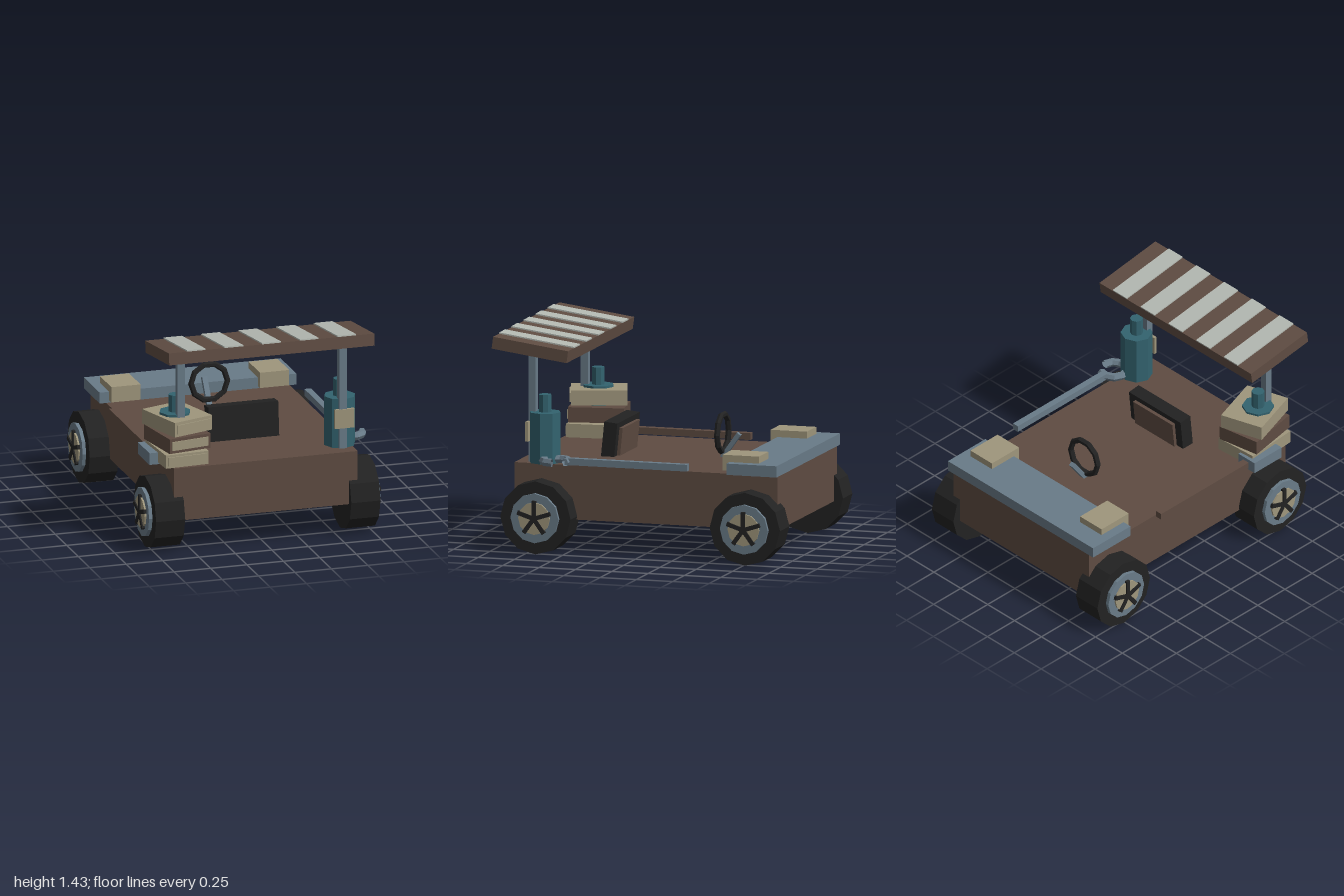
import * as THREE from 'three';

const mat = (name, color) => {
  const m = new THREE.MeshStandardMaterial({ color });
  m.name = name;
  return m;
};

export function createModel() {
  const brown = mat('brown', 0x5f4c42);
  const steel = mat('steel blue', 0x697b88);
  const beige = mat('beige', 0x9f967c);
  const black = mat('black', 0x222222);
  const teal = mat('teal', 0x33636f);
  const pale = mat('pale grey', 0xb4b9b2);

  const model = new THREE.Group();
  model.name = 'buggy';

  const add = (name, geometry, material, x, y, z, parent = model) => {
    // flat facets everywhere
    const g = geometry.index ? geometry.toNonIndexed() : geometry;
    g.computeVertexNormals();
    const mesh = new THREE.Mesh(g, material);
    mesh.name = name;
    mesh.position.set(x, y, z);
    parent.add(mesh);
    return mesh;
  };
  const box = (name, material, w, h, d, x, y, z, parent) =>
    add(name, new THREE.BoxGeometry(w, h, d), material, x, y, z, parent);
  const group = (name, x, y, z, parent = model) => {
    const g = new THREE.Group();
    g.name = name;
    g.position.set(x, y, z);
    parent.add(g);
    return g;
  };

  // Body and end slab
  box('body', brown, 1.26, 0.36, 1.81, 0, 0.4, -0.035);
  box('endSlab', steel, 1.35, 0.075, 0.345, 0, 0.617, -0.775);

  // Wheels: axis along x, outer face towards +x before mirroring
  const disc = (name, material, r, x0, x1, parent) => {
    const g = new THREE.CylinderGeometry(r, r, x1 - x0, 12);
    g.rotateZ(Math.PI / 2);
    return add(name, g, material, (x0 + x1) / 2, 0, 0, parent);
  };
  for (const side of [1, -1]) {
    for (const z of [0.68, -0.76]) {
      const wheel = group('wheel', 0, 0.242, z);
      if (side < 0) wheel.rotation.y = Math.PI;
      disc('tire', black, 0.242, 0.57, 0.77, wheel);
      disc('rim', steel, 0.165, 0.77, 0.794, wheel);
      disc('hub', beige, 0.108, 0.794, 0.806, wheel);
      for (let i = 0; i < 5; i++) {
        const a = (i / 5) * Math.PI * 2;
        const spoke = box('spoke', black, 0.02, 0.118, 0.028, 0.805,
          Math.cos(a) * 0.059, Math.sin(a) * 0.059, wheel);
        spoke.rotation.x = a;
      }
    }
  }

  // Paired parts: lamps, posts, bottles
  for (const s of [1, -1]) {
    box('lamp', beige, 0.2, 0.105, 0.25, s * 0.51, 0.648, -0.68);
    box('roofPost', steel, 0.05, 0.74, 0.05, s * 0.555, 0.945, 0.765);
    const bottle = group('bottle', s * 0.565, 0, 0.68);
    add('bottleBody', new THREE.CylinderGeometry(0.105, 0.105, 0.335, 8), teal, 0, 0.7475, 0, bottle);
    add('bottleNeck', new THREE.CylinderGeometry(0.043, 0.043, 0.12, 8), teal, 0, 0.97, 0, bottle);
    box('bottleLabel', beige, 0.135, 0.13, 0.02, 0, 0.785, 0.107, bottle);
  }

  // Tilted striped roof
  const roof = group('roof', 0, 1.343, 0.74);
  roof.rotation.x = -0.135;
  box('roofPanel', brown, 1.41, 0.08, 0.52, 0, 0, 0, roof);
  for (let i = -2; i <= 2; i++) {
    box('roofStripe', pale, 0.128, 0.009, 0.52, i * 0.258, 0.0445, 0, roof);
  }

  // Seat back with pad
  const seat = group('seat', 0, 0.69, 0.345);
  seat.rotation.x = -0.1;
  box('seatBack', black, 0.48, 0.235, 0.09, 0, 0, 0, seat);
  box('seatPad', brown, 0.365, 0.185, 0.025, 0, -0.012, -0.055, seat);

  // Steering wheel and column
  add('steeringWheel', new THREE.TorusGeometry(0.125, 0.02, 6, 10), black, 0, 0.738, -0.36);
  const column = box('steeringColumn', steel, 0.035, 0.2, 0.03, 0, 0.655, -0.415);
  column.rotation.x = -0.62;

  // Stack of twisted cases with a front panel
  [[0.627, 0.09, beige, 0.06], [0.735, 0.1, brown, 0.17], [0.85, 0.1, beige, 0.31]]
    .forEach(([y, h, material, turn]) => {
      const crate = group('case', -0.545, y, 0.667);
      crate.rotation.y = turn;
      box('caseBody', material, 0.3, h, 0.37, 0, 0, 0, crate);
      box('casePanel', beige, 0.265, 0.06, 0.012, 0, 0, 0.187, crate);
    });

  // Hammer along one side
  box('hammerHandle', brown, 0.05, 0.045, 0.9, -0.67, 0.605, 0.11);
  box('hammerHead', steel, 0.15, 0.08, 0.25, -0.675, 0.61, 0.59);

  // Wrench along the other side
  box('wrenchHandle', steel, 0.045, 0.045, 0.84, 0.667, 0.612, 0.085);
  const jaw = add('wrenchJaw', new THREE.TorusGeometry(0.084, 0.028, 6, 8, Math.PI * 1.65),
    steel, 0.668, 0.61, 0.573);
  jaw.rotation.x = Math.PI / 2;
  steel.side = THREE.DoubleSide;

  return model;
}
